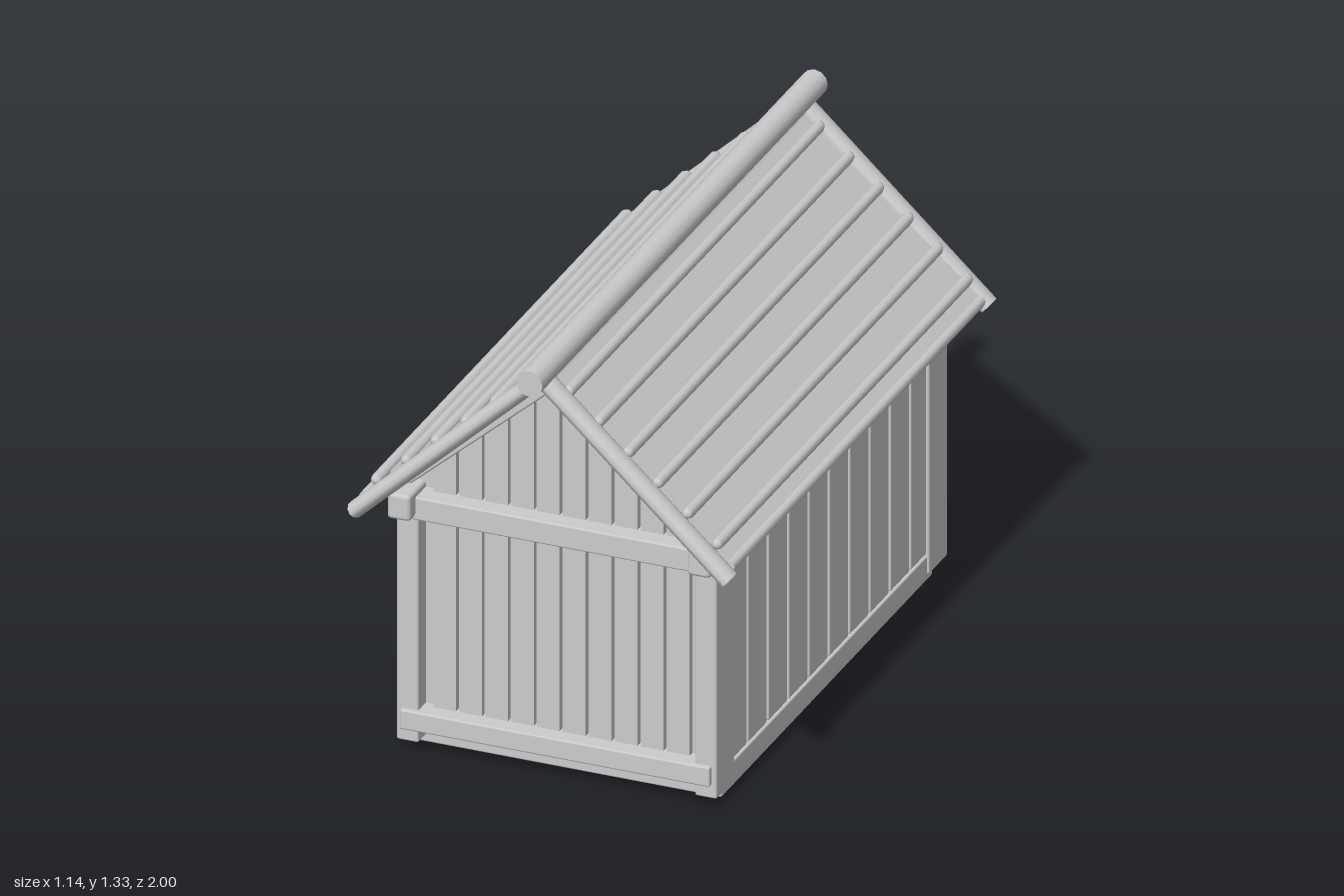
import * as THREE from 'three';
import { RoundedBoxGeometry } from 'three/addons/geometries/RoundedBoxGeometry.js';

const timber = new THREE.MeshStandardMaterial({ color: 0xcccccc });
timber.name = 'timber';

function add(parent, name, geometry, x = 0, y = 0, z = 0) {
  const mesh = new THREE.Mesh(geometry, timber);
  mesh.name = name;
  mesh.position.set(x, y, z);
  parent.add(mesh);
  return mesh;
}

// Box given by its lower and upper corners, with softened edges
function beam(parent, name, [x0, x1], [y0, y1], [z0, z1], r = 0.006) {
  const w = x1 - x0, h = y1 - y0, d = z1 - z0;
  const geo = r > 0 ? new RoundedBoxGeometry(w, h, d, 1, r) : new THREE.BoxGeometry(w, h, d);
  return add(parent, name, geo, (x0 + x1) / 2, (y0 + y1) / 2, (z0 + z1) / 2);
}

function group(parent, name) {
  const g = new THREE.Group();
  g.name = name;
  parent.add(g);
  return g;
}

function prism(points, depth) {
  const shape = new THREE.Shape(points.map(([x, y]) => new THREE.Vector2(x, y)));
  return new THREE.ExtrudeGeometry(shape, { depth, bevelEnabled: false });
}

const roofLine = (x) => 1.225 - 0.869 * Math.abs(x);

// Half of the frame and walls: the +z gable wall and the +x long wall
function buildHalf(parent) {
  const gable = group(parent, 'gableWall');
  for (let i = -5; i < 5; i++) {
    const x0 = i * 0.077 + 0.005, x1 = (i + 1) * 0.077 - 0.005;
    add(gable, 'gablePlank', prism([[x0, 0.08], [x1, 0.08], [x1, roofLine(x1)], [x0, roofLine(x0)]], 0.025), 0, 0, 0.75);
  }
  beam(gable, 'topCrossBeam', [-0.46, 0.46], [0.72, 0.79], [0.75, 0.83]);
  beam(gable, 'bottomCrossBeam', [-0.46, 0.46], [0.07, 0.13], [0.74, 0.825]);
  for (const s of [-1, 1]) {
    beam(gable, 'cornerPost', [s * 0.4425 - 0.0325, s * 0.4425 + 0.0325], [0.03, 0.76], [0.68, 0.81]);
  }

  const side = group(parent, 'longWall');
  const pitch = 0.1425;
  for (let i = -5; i < 5; i++) {
    const z0 = Math.max(i * pitch + 0.005, -0.69), z1 = Math.min((i + 1) * pitch - 0.005, 0.69);
    beam(side, 'sidePlank', [0.44, 0.466], [0.09, 0.76], [z0, z1], 0.005);
  }
  beam(side, 'sill', [0.40, 0.468], [0.02, 0.085], [-0.7, 0.7]);
  beam(side, 'wallPlate', [0.41, 0.48], [0.73, 0.81], [-0.87, 0.87], 0.012);
}

// One roof slope, running down towards +x
function buildSlope(parent) {
  const deck = group(parent, 'roofDeck');
  deck.position.y = 1.277;
  deck.rotation.z = -Math.atan(0.869);
  beam(deck, 'roofBoard', [0, 0.74], [-0.035, -0.005], [-0.88, 0.88], 0);
  const pitch = 0.1165;
  for (let i = 0; i < 6; i++) {
    const s = 0.08 + i * pitch;
    const batten = add(deck, 'batten', new THREE.CapsuleGeometry(0.017, 1.75, 2, 8), s, 0.008, 0);
    batten.rotation.x = Math.PI / 2;
    // Shingles hang from each batten, leaving a bare strip below
    if (i < 5) {
      for (let j = 0; j < 20; j++) {
        const z = (j - 9.5) * 0.087;
        beam(deck, 'shingle', [s, s + 0.075], [-0.012, 0.005], [z - 0.036, z + 0.036], 0);
      }
    }
  }
  const eave = add(deck, 'eavePole', new THREE.CylinderGeometry(0.017, 0.017, 1.76, 8), 0.73, -0.015, 0);
  eave.rotation.x = Math.PI / 2;
  for (const z of [-0.8, 0.8]) {
    beam(deck, 'rafter', [0.03, 0.62], [-0.06, -0.03], [z - 0.03, z + 0.03]);
  }

  const verge = group(parent, 'verge');
  verge.position.y = 1.277;
  verge.rotation.z = -Math.atan(0.926);
  for (const z of [-0.91, 0.91]) {
    const log = add(verge, 'vergeLog', new THREE.CylinderGeometry(0.036, 0.036, 0.757, 10), 0.3785, 0, z);
    log.rotation.z = Math.PI / 2;
    log.scale.x = 0.68;
  }
}

// Window with a four-pane frame, facing -z
function buildWindow(parent, x) {
  const win = group(parent, 'window');
  win.position.x = x;
  beam(win, 'windowBox', [-0.075, 0.075], [0.38, 0.6], [-0.82, -0.76], 0.01);
  for (const s of [-1, 1]) {
    beam(win, 'windowStile', [s * 0.056 - 0.009, s * 0.056 + 0.009], [0.4, 0.58], [-0.85, -0.81], 0.003);
    beam(win, 'windowRail', [-0.06, 0.06], [0.49 + s * 0.081 - 0.009, 0.49 + s * 0.081 + 0.009], [-0.848, -0.81], 0.003);
  }
  beam(win, 'glazingBarUpright', [-0.006, 0.006], [0.41, 0.57], [-0.845, -0.81], 0);
  beam(win, 'glazingBarLevel', [-0.05, 0.05], [0.484, 0.496], [-0.843, -0.81], 0);
}

// Plank door facing -z
function buildDoor(parent) {
  const door = group(parent, 'door');
  beam(door, 'doorBack', [-0.13, 0.13], [0.11, 0.52], [-0.79, -0.76], 0);
  for (let i = 0; i < 6; i++) {
    const x = (i - 2.5) * 0.042;
    beam(door, 'doorPlank', [x - 0.017, x + 0.017], [0.12, 0.52], [-0.815, -0.77], 0.004);
  }
  for (const y of [0.18, 0.46]) beam(door, 'doorBrace', [-0.125, 0.125], [y - 0.014, y + 0.014], [-0.835, -0.8], 0.004);
  for (const s of [-1, 1]) beam(door, 'doorJamb', [s * 0.146 - 0.014, s * 0.146 + 0.014], [0.11, 0.53], [-0.82, -0.76], 0.004);
  beam(door, 'doorLintel', [-0.165, 0.165], [0.525, 0.56], [-0.825, -0.76], 0.005);
  add(door, 'doorKnob', new THREE.SphereGeometry(0.014, 10, 8), -0.095, 0.325, -0.857);
  const stem = add(door, 'knobStem', new THREE.CylinderGeometry(0.005, 0.005, 0.05, 6), -0.095, 0.325, -0.83);
  stem.rotation.x = Math.PI / 2;
}

export function createModel() {
  const model = new THREE.Group();
  model.name = 'woodenCabin';

  // Base and solid core behind the planks
  beam(model, 'floor', [-0.46, 0.46], [0, 0.08], [-0.74, 0.74]);
  const e = 0.45;
  add(model, 'wallCore', prism([[-e, 0.05], [e, 0.05], [e, 0.8], [0, 1.2], [-e, 0.8]], 1.51), 0, 0, -0.755);

  // Each half turned about the centre makes the whole
  for (const turn of [0, Math.PI]) {
    const half = group(model, turn ? 'rearHalf' : 'frontHalf');
    half.rotation.y = turn;
    buildHalf(half);
    buildSlope(half);
  }

  // Ridge pole
  const ridge = add(model, 'ridgePole', new THREE.CylinderGeometry(0.039, 0.039, 2, 12), 0, 1.295, 0);
  ridge.rotation.x = Math.PI / 2;

  buildDoor(model);
  buildWindow(model, 0.325);
  buildWindow(model, -0.325);
  return model;
}
